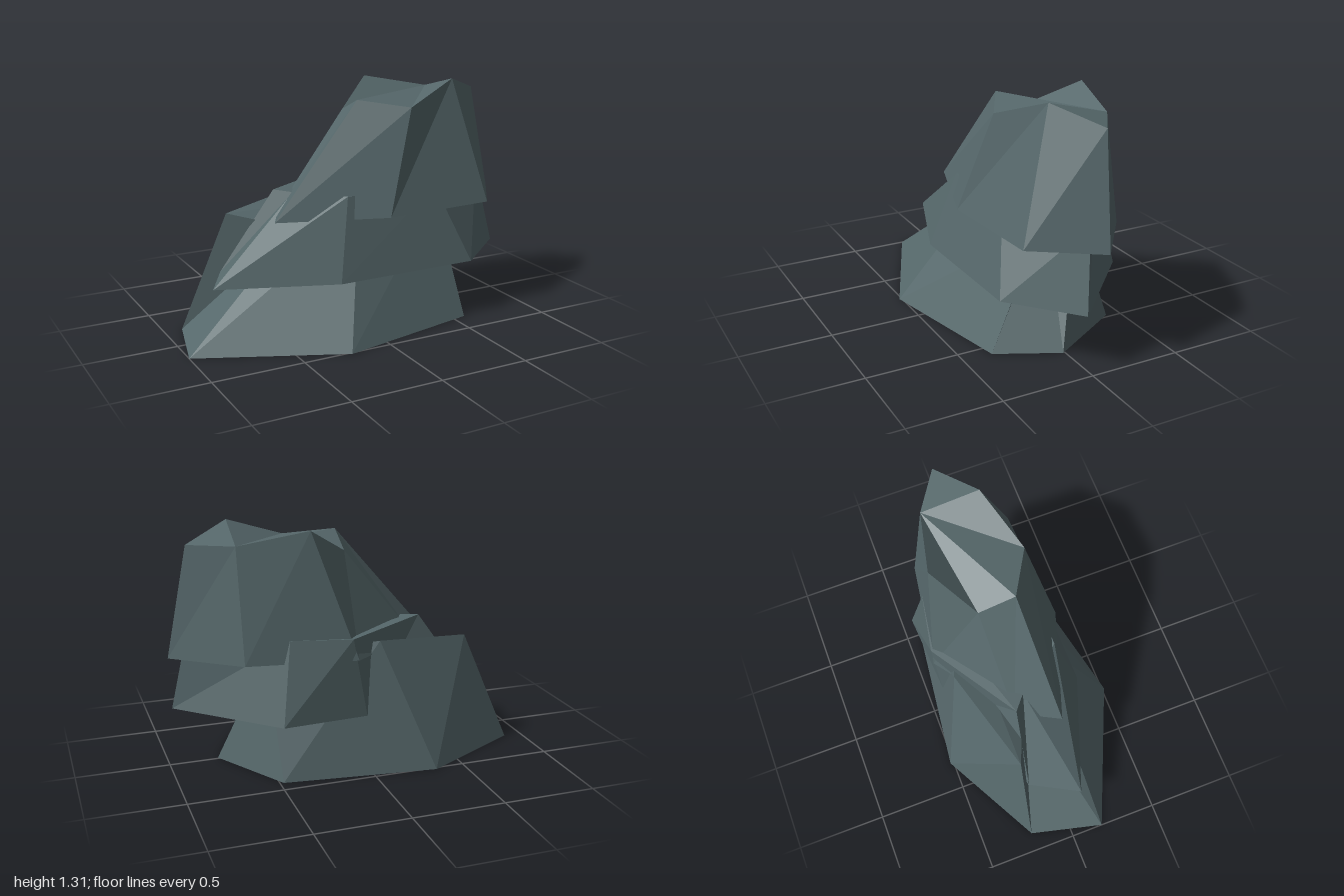
import * as THREE from 'three';

const slate = new THREE.MeshStandardMaterial({ color: 0x56686b });
slate.name = 'slate';

// Each tier: base height, base corners [x, z], top corners [x, y, z],
// running from the left tip round the back to the front
const tiers = [
  {
    name: 'lowerRock', y: 0,
    base: [[-1, 0.18], [-0.9, -0.22], [-0.34, -0.52], [0.48, -0.42], [0.735, 0.01], [0.575, 0.34], [-0.235, 0.515]],
    top: [[-0.3, 0.54, -0.05], [-0.635, 0.63, -0.19], [-0.07, 0.7, -0.36], [0.5, 0.63, -0.19],
      [0.4, 0.63, -0.07], [0.545, 0.63, 0.05], [0, 0.63, 0.14]],
  },
  {
    name: 'middleRock', y: 0.315,
    base: [[-0.83, 0.1], [-0.69, -0.16], [0.02, -0.42], [0.48, -0.45], [0.97, 0.02], [0.625, 0.32], [-0.2, 0.33]],
    top: [[-0.3, 0.74, -0.05], [-0.385, 0.75, -0.12], [0.1, 0.745, -0.43], [0.42, 0.75, -0.37],
      [0.885, 0.745, -0.035], [0.44, 0.75, 0.21], [-0.1, 0.75, 0.21]],
  },
  {
    name: 'upperRock', y: 0.63,
    base: [[-0.48, 0.11], [-0.36, -0.12], [0.07, -0.435], [0.65, -0.345], [0.995, -0.08], [0.76, 0.265], [0.11, 0.305]],
    top: [[0.045, 1.23, 0.04], [0.06, 1.15, -0.16], [0.295, 1.3, -0.335], [0.66, 1.23, -0.255],
      [0.885, 1.225, -0.11], [0.635, 1.31, 0.065], [0.3, 1.19, 0.185]],
  },
];

// Faceted block lofted between two loops and closed with fans
function rockGeometry({ y, base, top }) {
  const low = base.map(([x, z]) => [x, y, z]);
  const n = low.length;
  const pos = [];
  const tri = (a, b, c) => pos.push(...a, ...b, ...c);
  for (let i = 0; i < n; i++) {
    const j = (i + 1) % n;
    tri(low[i], top[i], low[j]);
    tri(top[i], top[j], low[j]);
  }
  const hub = 3;
  for (let k = 1; k < n - 1; k++) {
    const a = (hub + k) % n, b = (hub + k + 1) % n;
    tri(top[hub], top[b], top[a]);
    tri(low[hub], low[a], low[b]);
  }
  const g = new THREE.BufferGeometry();
  g.setAttribute('position', new THREE.Float32BufferAttribute(pos, 3));
  g.computeVertexNormals();
  return g;
}

export function createModel() {
  const group = new THREE.Group();
  group.name = 'layeredRock';
  for (const tier of tiers) {
    const mesh = new THREE.Mesh(rockGeometry(tier), slate);
    mesh.name = tier.name;
    group.add(mesh);
  }
  return group;
}
